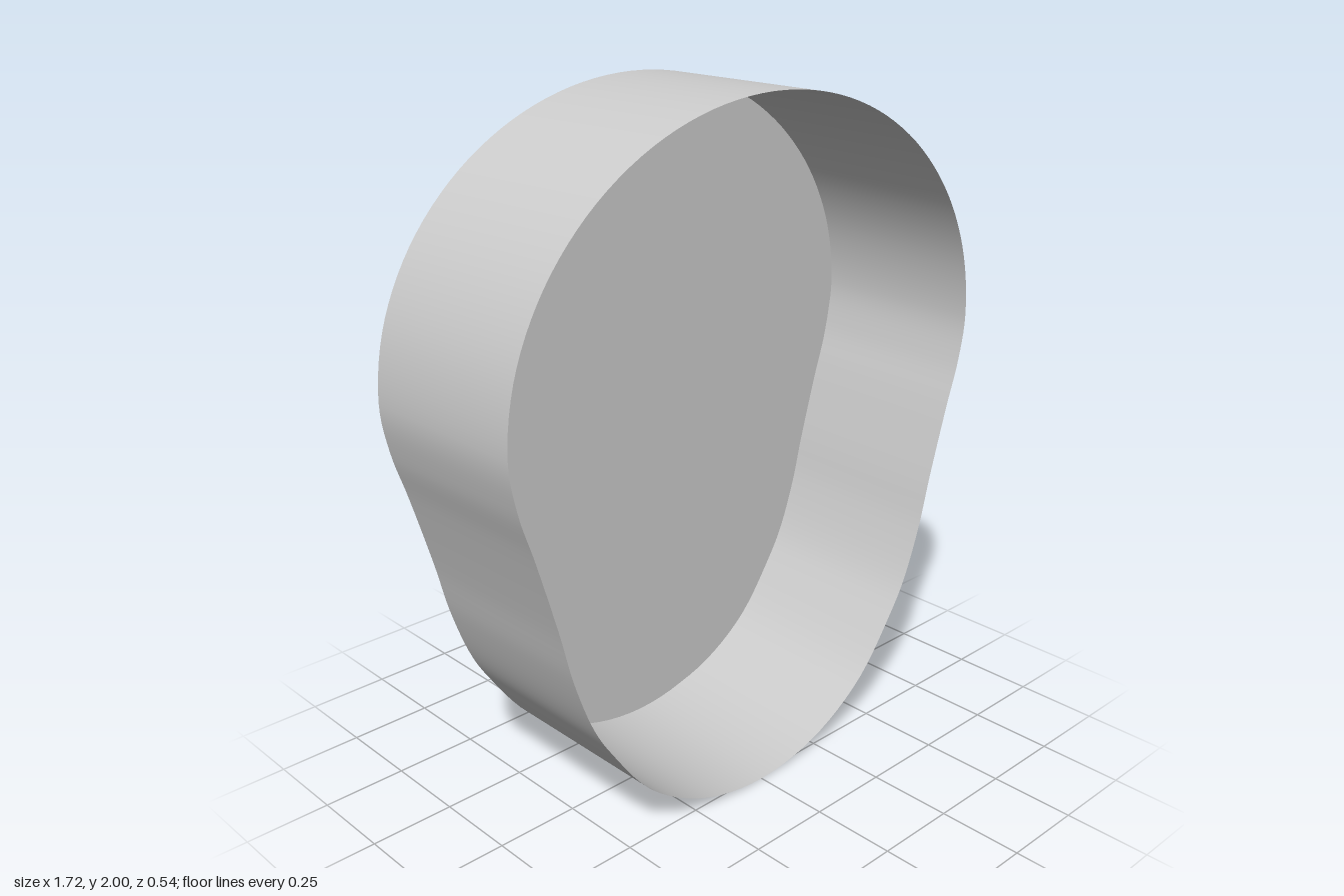
import * as THREE from 'three';

const FRONT = 0.27, BACK = -0.27, PANEL = -0.21;

// Closed pear-shaped outline, anticlockwise seen from the front
function makeOutline() {
  const half = [];
  for (let i = 0; i < 4; i++) { // round bottom
    const a = i * 0.36;
    half.push([0.65 * Math.sin(a), 0.65 - 0.65 * Math.cos(a)]);
  }
  half.push([0.63, 0.44], [0.69, 0.6], [0.73, 0.754], [0.795, 0.976], [0.838, 1.11]); // waisted side
  for (let i = 0; i <= 6; i++) { // wide elliptical top
    const a = (i / 6) * Math.PI / 2;
    half.push([0.86 * Math.cos(a), 1.25 + 0.75 * Math.sin(a)]);
  }
  const mirrored = half.slice(1, -1).reverse().map(([x, y]) => [-x, y]);
  const points = [...half, ...mirrored].map(([x, y]) => new THREE.Vector3(x, y, 0));
  return new THREE.CatmullRomCurve3(points, true).getPoints(160).slice(0, -1);
}

const place = (outline, z) => outline.map((p) => new THREE.Vector3(p.x, p.y, z));

// Closed band of surface between two loops
function band(a, b) {
  const n = a.length, index = [];
  for (let i = 0; i < n; i++) {
    const j = (i + 1) % n;
    index.push(i, n + i, n + j, i, n + j, j);
  }
  const geometry = new THREE.BufferGeometry().setFromPoints([...a, ...b]);
  geometry.setIndex(index);
  geometry.computeVertexNormals();
  return geometry;
}

export function createModel() {
  const group = new THREE.Group();
  const material = new THREE.MeshStandardMaterial({ color: 0xcccccc, side: THREE.DoubleSide });
  const add = (name, geometry) => {
    const mesh = new THREE.Mesh(geometry, material);
    mesh.name = name;
    group.add(mesh);
    return mesh;
  };

  const outer = makeOutline();
  const inner = outer.map((p) => new THREE.Vector3(p.x * 0.912, 1 + (p.y - 1) * 0.94, 0));

  // Thin shell, open at the front, with a rim around the back
  add('outerWall', band(place(outer, FRONT), place(outer, BACK)));
  add('backRim', band(place(inner, BACK), place(outer, BACK)));

  // Back panel set forward of the rim
  add('recessWall', band(place(inner, BACK), place(inner, PANEL)));
  const panel = new THREE.Shape(inner.map((p) => new THREE.Vector2(p.x, p.y)));
  add('backPanel', new THREE.ShapeGeometry(panel)).position.z = PANEL;

  // Slanted bar on the rear of the panel
  const bar = add('backBar', new THREE.BoxGeometry(0.585, 0.064, 0.035));
  bar.position.set(-0.245, 1.19, PANEL - 0.018);
  bar.rotation.z = 0.35;

  return group;
}
